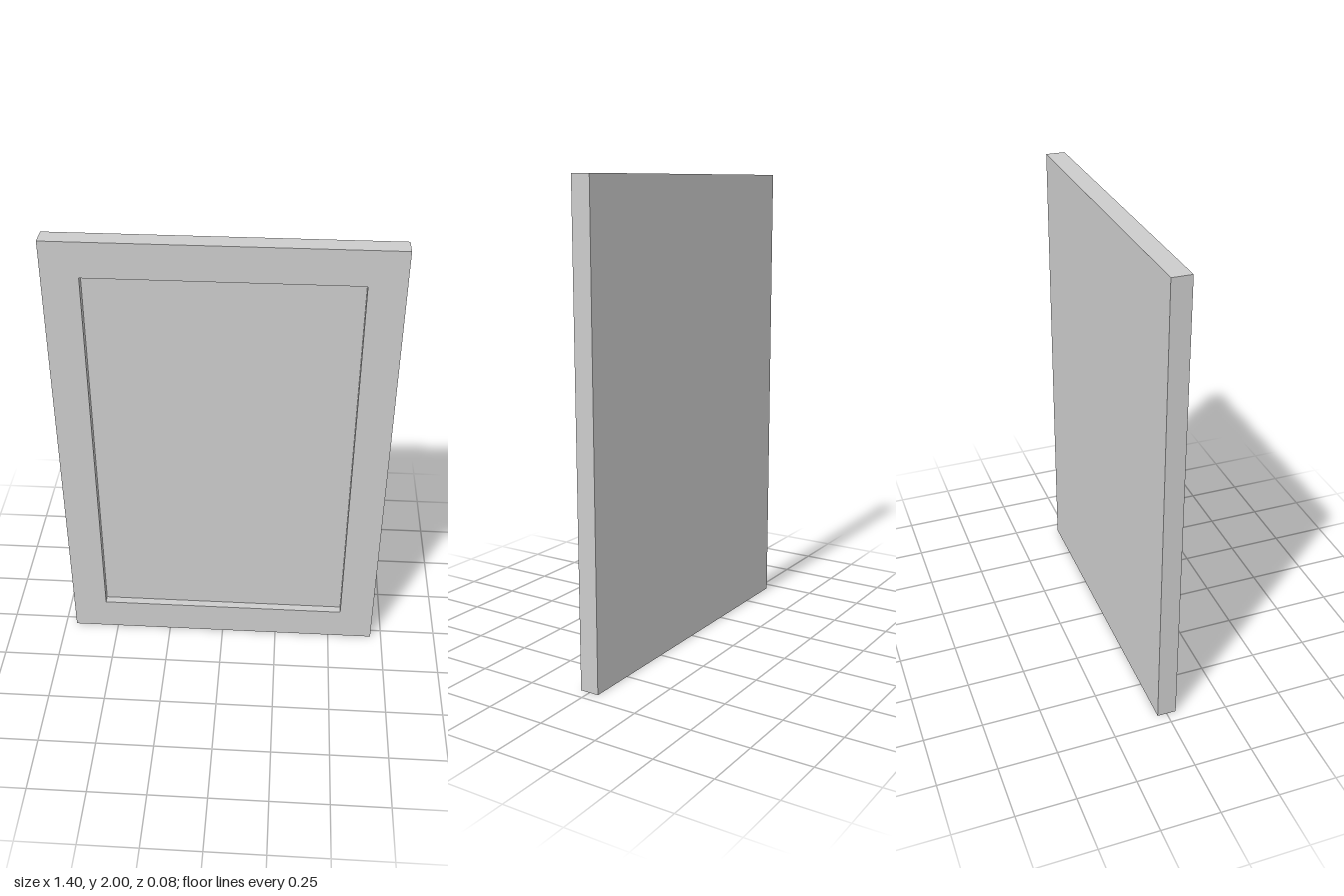
import * as THREE from 'three';

const W = 1.4, H = 2, D = 0.082;   // overall size
const BORDER = 0.15, RECESS = 0.035; // frame width and depth of the sunken panel

// Counter-clockwise rectangle centred on x, inset from the outer edge
function rectangle(PathType, inset) {
  const x = W / 2 - inset, y0 = inset, y1 = H - inset;
  return new PathType([[-x, y0], [x, y0], [x, y1], [-x, y1]].map(([a, b]) => new THREE.Vector2(a, b)));
}

export function createModel() {
  const group = new THREE.Group();
  group.name = 'framedPanel';
  const material = new THREE.MeshStandardMaterial({ color: 0xcccccc });

  // Raised border around the front
  const outline = rectangle(THREE.Shape, 0);
  outline.holes.push(rectangle(THREE.Path, BORDER));
  const frame = new THREE.Mesh(
    new THREE.ExtrudeGeometry(outline, { depth: RECESS, bevelEnabled: false }), material);
  frame.name = 'frame';
  frame.position.z = D / 2 - RECESS;
  group.add(frame);

  // Solid back, whose front face is the sunken panel
  const back = new THREE.Mesh(new THREE.BoxGeometry(W, H, D - RECESS), material);
  back.name = 'backPanel';
  back.position.set(0, H / 2, -RECESS / 2);
  group.add(back);

  return group;
}
